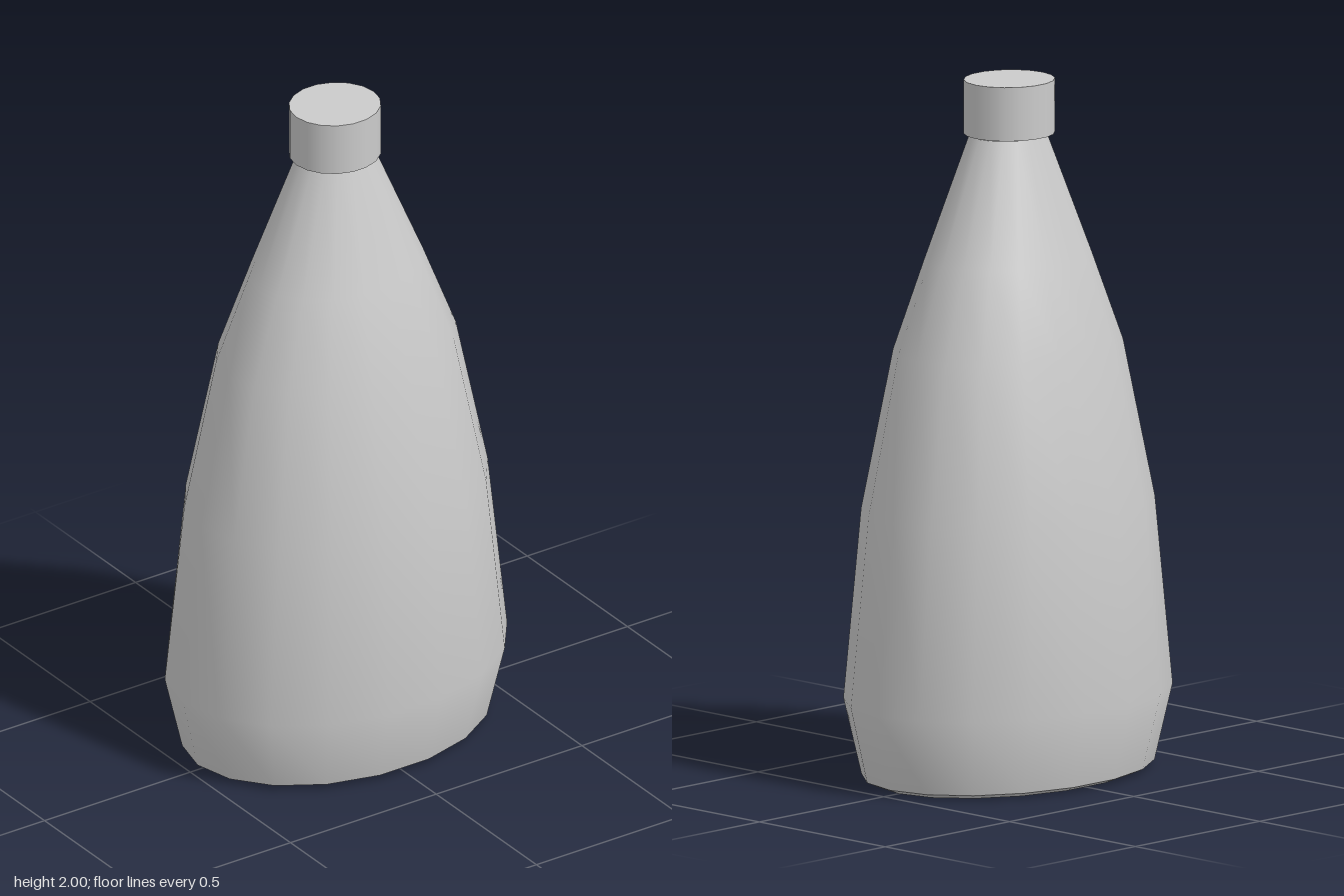
import * as THREE from 'three';
import { mergeVertices } from 'three/addons/utils/BufferGeometryUtils.js';

const SIDES = 18;
const material = new THREE.MeshStandardMaterial({ color: 0xcccccc });

// Smooth shell through elliptical rings [y, half width in x, half depth in z], listed bottom to top
function ovalShell(name, rings) {
  const points = rings.map(([y, rx]) => new THREE.Vector2(rx, y));
  let geometry = new THREE.LatheGeometry(points, SIDES, Math.PI / 2);
  const pos = geometry.attributes.position;
  for (let i = 0; i < pos.count; i++) {
    const [, rx, rz] = rings[i % rings.length];
    if (rx > 0) pos.setZ(i, pos.getZ(i) * rz / rx);
  }
  // Join the seam so the shading runs all the way round
  geometry.deleteAttribute('uv');
  geometry.deleteAttribute('normal');
  geometry = mergeVertices(geometry, 1e-4);
  geometry.computeVertexNormals();
  const mesh = new THREE.Mesh(geometry, material);
  mesh.name = name;
  return mesh;
}

export function createModel() {
  const model = new THREE.Group();
  model.name = 'bottle';

  // Tapering oval body
  model.add(ovalShell('body', [
    [0.015, 0.475, 0.347],
    [0.235, 0.525, 0.4],
    [0.78, 0.463, 0.363],
    [1.235, 0.368, 0.278],
    [1.49, 0.267, 0.204],
    [1.84, 0.115, 0.106],
  ]));

  // Small bevel and flat underside
  model.add(ovalShell('baseBevel', [[0, 0.44, 0.313], [0.015, 0.475, 0.347]]));
  model.add(ovalShell('underside', [[0, 0, 0], [0, 0.44, 0.313]]));

  // Shoulder ledge and the short neck inside the cap
  model.add(ovalShell('shoulder', [[1.84, 0.115, 0.106], [1.84, 0, 0]]));
  model.add(ovalShell('neck', [[1.84, 0.1, 0.095], [1.86, 0.1, 0.095]]));

  // Screw cap
  const cap = new THREE.Mesh(new THREE.CylinderGeometry(1, 1, 0.155, SIDES, 1, false, Math.PI / 2), material);
  cap.name = 'cap';
  cap.scale.set(0.133, 1, 0.126);
  cap.position.set(-0.001, 1.9225, -0.004);
  model.add(cap);

  return model;
}
